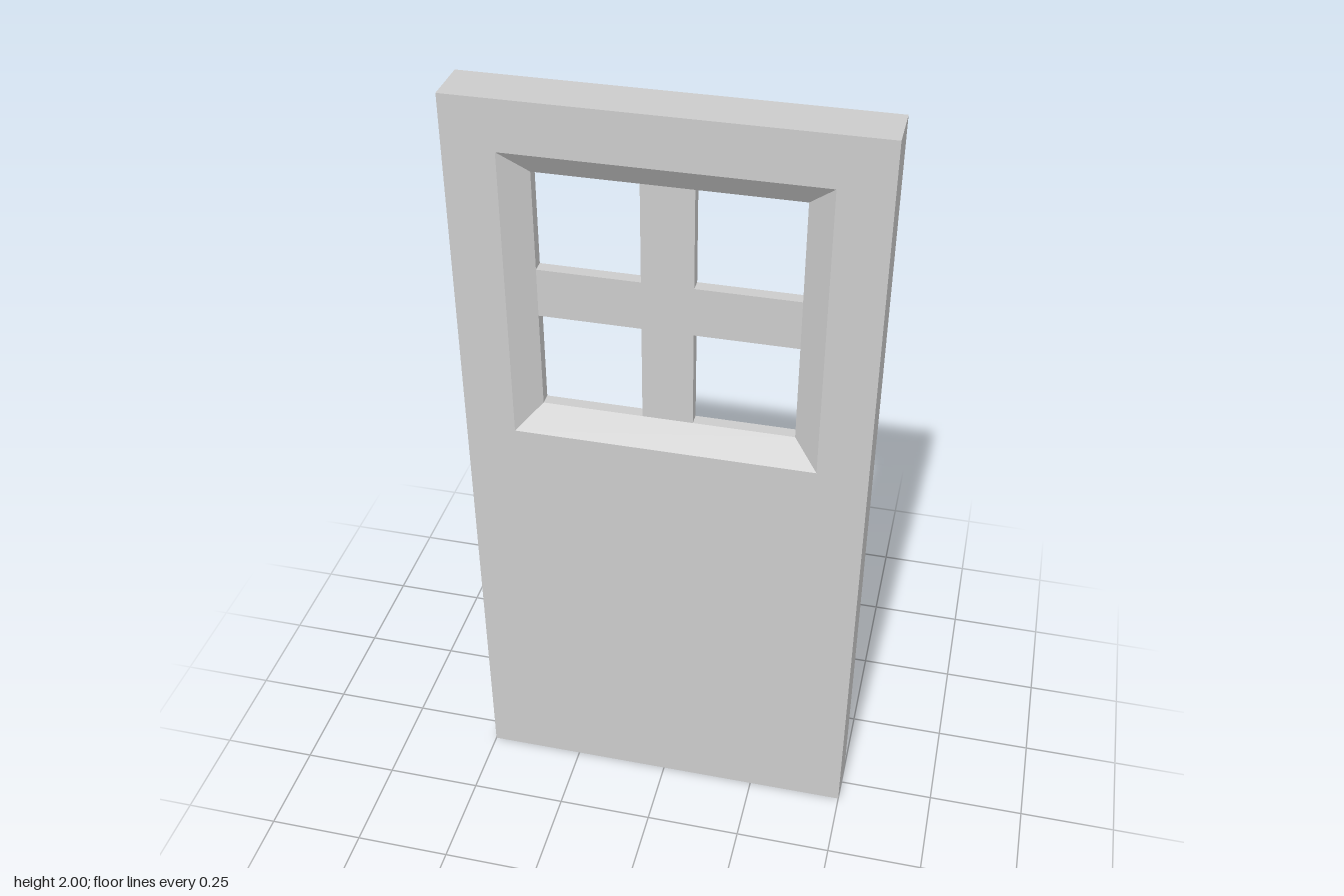
import * as THREE from 'three';

const HALF = 0.0625;   // half the slab thickness
const PANE = 0.0156;   // half the glazing bar thickness
const CY = 1.5;        // window centre height
const INNER = 0.3125;  // half the clear opening

// Rectangle corners, counter-clockwise from the front
const rect = (halfW, y0, y1, z) => [
  [-halfW, y0, z], [halfW, y0, z], [halfW, y1, z], [-halfW, y1, z],
];
const square = (h, z) => rect(h, CY - h, CY + h, z);

// Joins closed rectangular loops into one ring-shaped solid
function loopSolid(loops) {
  const pos = [];
  loops.forEach((loop, i) => {
    const next = loops[(i + 1) % loops.length];
    for (let j = 0; j < 4; j++) {
      const k = (j + 1) % 4;
      pos.push(...loop[j], ...loop[k], ...next[k], ...loop[j], ...next[k], ...next[j]);
    }
  });
  const geo = new THREE.BufferGeometry();
  geo.setAttribute('position', new THREE.Float32BufferAttribute(pos, 3));
  geo.computeVertexNormals();
  return geo;
}

export function createModel() {
  const group = new THREE.Group();
  group.name = 'door';
  const material = new THREE.MeshStandardMaterial({ color: 0xcccccc, flatShading: true });
  const add = (name, geometry) => {
    const mesh = new THREE.Mesh(geometry, material);
    mesh.name = name;
    group.add(mesh);
  };

  // Slab with a window opening bevelled inwards on both faces
  add('doorSlab', loopSolid([
    rect(0.5, 0, 2, -HALF),
    rect(0.5, 0, 2, HALF),
    square(0.375, HALF),
    square(INNER, PANE),
    square(INNER, -PANE),
    square(0.375, -HALF),
  ]));

  // Cross-shaped glazing bars, one flush piece
  const b = 0.0625;
  const cross = new THREE.Shape();
  for (let i = 0; i < 4; i++) {
    const c = Math.round(Math.cos(i * Math.PI / 2)), s = Math.round(Math.sin(i * Math.PI / 2));
    for (const [x, y] of [[INNER, -b], [INNER, b], [b, b]]) {
      const px = x * c - y * s, py = x * s + y * c;
      if (cross.curves.length || cross.started) cross.lineTo(px, py);
      else { cross.moveTo(px, py); cross.started = true; }
    }
  }
  cross.closePath();
  const bars = new THREE.ExtrudeGeometry(cross, { depth: 2 * PANE, bevelEnabled: false });
  bars.translate(0, CY, -PANE);
  add('glazingBars', bars);

  return group;
}
